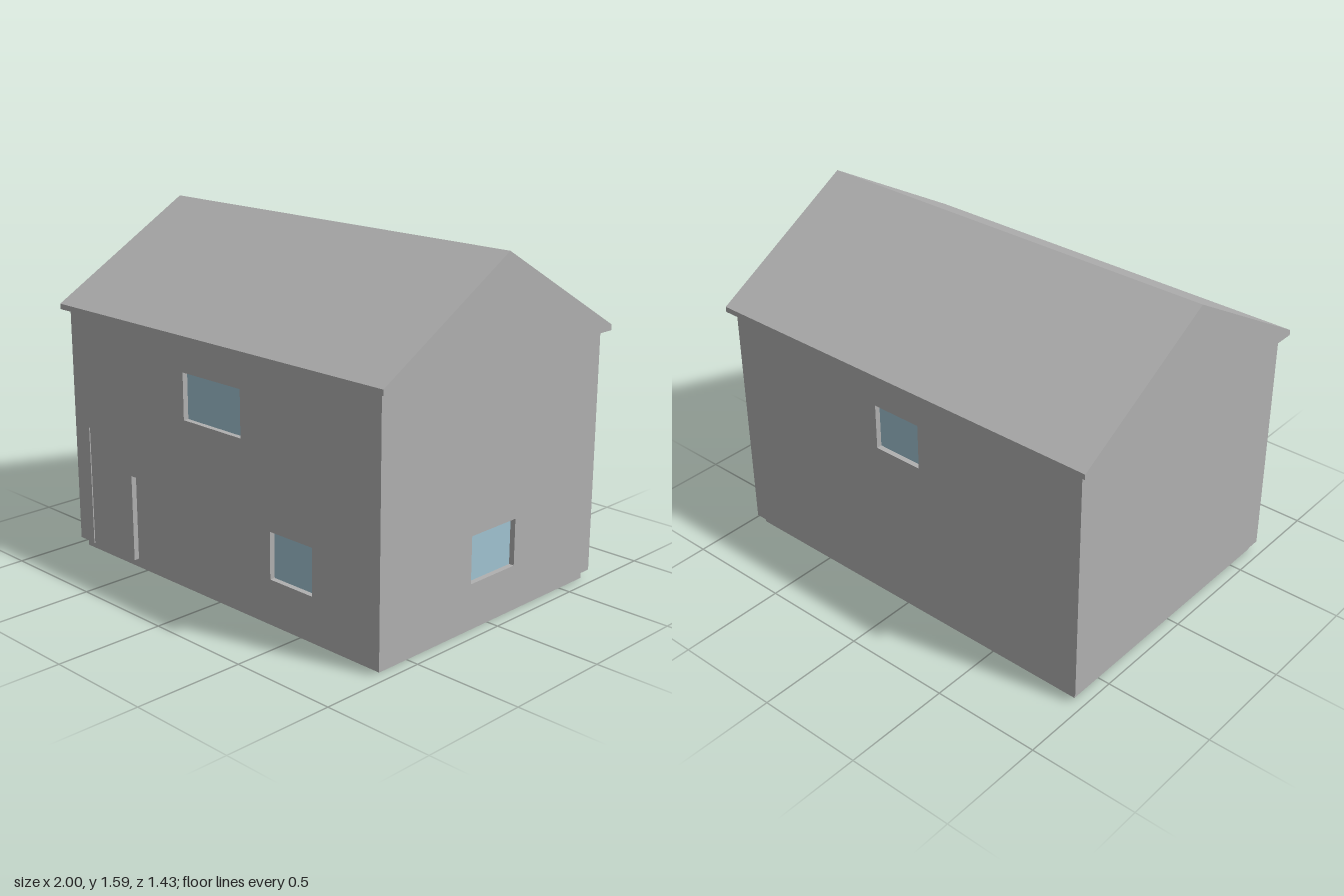
import * as THREE from 'three';

const DEPTH = 0.025; // wall thickness, also the depth of the reveals
const HALF_X = 0.965, HALF_Z = 0.685;
const Y0 = 0.04, Y1 = 1.145;

export function createModel() {
  const house = new THREE.Group();
  house.name = 'house';

  const grey = new THREE.MeshStandardMaterial({ color: 0xb0b0b0 });
  grey.name = 'plaster grey';
  const blue = new THREE.MeshStandardMaterial({ color: 0xa0c3d1 });
  blue.name = 'window blue';

  const add = (parent, name, geometry, material, x = 0, y = 0, z = 0) => {
    const mesh = new THREE.Mesh(geometry, material);
    mesh.name = name;
    mesh.position.set(x, y, z);
    parent.add(mesh);
    return mesh;
  };

  // One wall facing local +z, its outer face at z = 0, with recessed windows and an optional door
  function wall(name, half, windows, door) {
    const group = new THREE.Group();
    group.name = name;
    const outline = [[-half, Y0]];
    if (door) {
      const [x0, x1, top] = door;
      outline.push([x0, Y0], [x0, top], [x1, top], [x1, Y0]);
      add(group, 'door', new THREE.BoxGeometry(x1 - x0 + 0.02, top - Y0 + 0.01, 0.008), grey,
        (x0 + x1) / 2, (Y0 + top) / 2 + 0.005, -DEPTH - 0.004);
    }
    outline.push([half, Y0], [half, Y1], [-half, Y1]);
    const toPoints = (list) => list.map(([x, y]) => new THREE.Vector2(x, y));
    const shape = new THREE.Shape(toPoints(outline));

    for (const [x0, x1, y0, y1] of windows) {
      shape.holes.push(new THREE.Path(toPoints([[x0, y0], [x0, y1], [x1, y1], [x1, y0]])));
      add(group, 'windowPane', new THREE.BoxGeometry(x1 - x0 + 0.02, y1 - y0 + 0.02, 0.008), blue,
        (x0 + x1) / 2, (y0 + y1) / 2, -DEPTH - 0.004);
    }
    const geometry = new THREE.ExtrudeGeometry(shape, { depth: DEPTH, bevelEnabled: false });
    add(group, name + 'Panel', geometry, grey, 0, 0, -DEPTH);
    house.add(group);
    return group;
  }

  // Four walls; the side walls fit between the front and back ones
  const front = wall('frontWall', HALF_X,
    [[-0.18, 0.18, 0.79, 1.0], [0.35, 0.595, 0.22, 0.43]], [-0.56, -0.39, 0.445]);
  front.position.z = HALF_Z;

  const back = wall('backWall', HALF_X, [[-0.12, 0.12, 0.79, 1.0]]);
  back.rotation.y = Math.PI;
  back.position.z = -HALF_Z;

  const left = wall('leftWall', HALF_Z - DEPTH, [[-0.14, 0.14, 0.22, 0.43]]);
  left.rotation.y = Math.PI / 2;
  left.position.x = HALF_X;

  const right = wall('rightWall', HALF_Z - DEPTH, []);
  right.rotation.y = -Math.PI / 2;
  right.position.x = -HALF_X;

  // Plinth set in under the walls
  add(house, 'plinth', new THREE.BoxGeometry(1.885, Y0, 1.32), grey, 0, Y0 / 2, 0);

  // Thin upright rod on the front wall
  add(house, 'wallRod', new THREE.BoxGeometry(0.005, 0.565, 0.006), grey, -0.86, 0.3225, HALF_Z + 0.002);

  // Solid gabled roof with a small eave edge
  const gable = new THREE.Shape([
    [-0.715, Y1], [0.715, Y1], [0.715, 1.17], [0, 1.585], [-0.715, 1.17],
  ].map(([z, y]) => new THREE.Vector2(z, y)));
  const roof = new THREE.ExtrudeGeometry(gable, { depth: 2, bevelEnabled: false });
  roof.translate(0, 0, -1).rotateY(Math.PI / 2);
  add(house, 'roof', roof, grey);

  return house;
}
